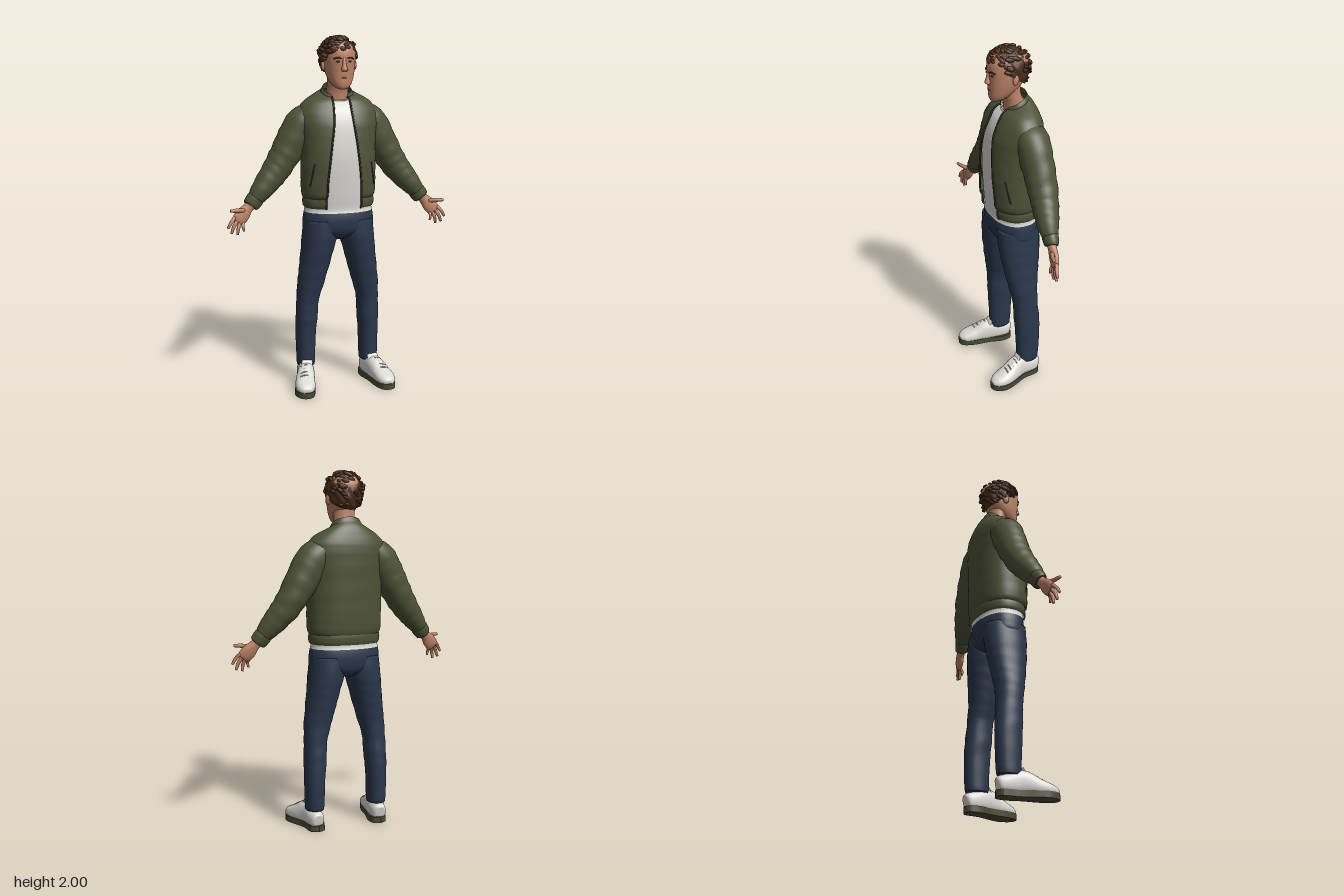
import * as THREE from 'three';
import { mergeGeometries } from 'three/addons/utils/BufferGeometryUtils.js';

const mat = (name, color, side = THREE.FrontSide) => {
  const m = new THREE.MeshStandardMaterial({ color, side });
  m.name = name;
  return m;
};
const V = (x, y, z) => new THREE.Vector3(x, y, z);

// Smooth interpolation of whole rows [x, y, z, rx, rz, gap, tilt]
function sampleRow(rows, t) {
  const f = t * (rows.length - 1), i = Math.min(Math.floor(f), rows.length - 2), k = f - i;
  const at = (j) => rows[Math.max(0, Math.min(rows.length - 1, j))];
  return Array.from({ length: 7 }, (_, c) => {
    const [a, b, d, e] = [-1, 0, 1, 2].map((o) => at(i + o)[c] ?? 0);
    return b + 0.5 * k * (d - a + k * (2 * a - 5 * b + 4 * d - e + k * (3 * (b - d) + e - a)));
  });
}

const pw = (v, p) => Math.sign(v) * Math.abs(v) ** p;
const gapAngle = (r, n) => (r[5] > 0 ? Math.asin(Math.min(1, r[5] / r[3]) ** (n / 2)) : 0);
function ringPoint(r, a, n, X, Z, s = 1) {
  return V(r[0], r[1] - (r[6] ?? 0) * Math.cos(a), r[2])
    .addScaledVector(X, s * r[3] * pw(Math.sin(a), 2 / n))
    .addScaledVector(Z, s * r[4] * pw(Math.cos(a), 2 / n));
}

// Skin a stack of superellipse rings; a gap leaves the front open
function loft(rows, { seg = 32, steps = 4, n = 2, upright = false, hint = V(0, 0, 1), wrinkle = 0, caps = true } = {}) {
  const count = (rows.length - 1) * steps, open = rows.some((r) => r[5] > 0), cols = open ? seg + 1 : seg;
  const pos = [], idx = [];
  const centre = (t) => V(...sampleRow(rows, t).slice(0, 3));
  for (let i = 0; i <= count; i++) {
    const t = i / count, r = sampleRow(rows, t);
    let X = V(1, 0, 0), Z = V(0, 0, 1);
    if (!upright) {
      const T = centre(Math.min(1, t + 0.01)).sub(centre(Math.max(0, t - 0.01))).normalize();
      X = T.clone().cross(hint).normalize();
      Z = X.clone().cross(T);
    }
    const a0 = gapAngle(r, n);
    for (let j = 0; j < cols; j++) {
      const a = a0 + (j / seg) * (Math.PI * 2 - 2 * a0);
      const s = 1 + wrinkle * Math.sin(i * 1.9 + 2 * Math.cos(a + i * 0.3)) * Math.sin(Math.PI * t);
      pos.push(...ringPoint(r, a, n, X, Z, s).toArray());
    }
  }
  for (let i = 0; i < count; i++)
    for (let j = 0; j < seg; j++) {
      const k = (j + 1) % cols, a = i * cols + j, b = i * cols + k, c = a + cols, d = b + cols;
      idx.push(a, b, c, b, d, c);
    }
  if (caps && !open)
    [0, count].forEach((i, end) => {
      const c = pos.length / 3;
      pos.push(...centre(end).toArray());
      for (let j = 0; j < seg; j++) {
        const a = i * cols + j, b = i * cols + ((j + 1) % cols);
        idx.push(...(end ? [a, b, c] : [b, a, c]));
      }
    });
  const g = new THREE.BufferGeometry();
  g.setAttribute('position', new THREE.Float32BufferAttribute(pos, 3));
  g.setIndex(idx);
  g.computeVertexNormals();
  return g;
}

const tube = (pts, r, seg = 16) =>
  new THREE.TubeGeometry(new THREE.CatmullRomCurve3(pts.map((p) => V(...p))), seg, r, 6);

export function createModel() {
  const root = new THREE.Group();
  root.name = 'standingMan';
  const M = {
    jacket: mat('olive jacket', 0x4d5237, THREE.DoubleSide),
    trim: mat('dark olive trim', 0x34382a),
    shirt: mat('off-white shirt', 0xd9d7d2, THREE.DoubleSide),
    jeans: mat('navy denim', 0x2a374b),
    skin: mat('skin', 0xbf8468),
    lips: mat('lips', 0x9c604d),
    hair: mat('brown hair', 0x4a2d1a),
    shoe: mat('white leather', 0xdcdad5),
    sole: mat('olive sole', 0x4b4a35),
    lace: mat('grey lace', 0xb9b7b1),
  };
  const add = (name, geo, m, parent = root) => {
    const mesh = new THREE.Mesh(geo, m);
    mesh.name = name;
    parent.add(mesh);
    return mesh;
  };

  // Jacket body, ribbed hem and collar
  const body = [
    [0, 1.105, -0.042, 0.2, 0.134, 0.1], [0, 1.13, -0.04, 0.21, 0.143, 0.098], [0, 1.2, -0.04, 0.212, 0.147, 0.095],
    [0, 1.3, -0.04, 0.212, 0.15, 0.085], [0, 1.42, -0.045, 0.213, 0.147, 0.07], [0, 1.52, -0.053, 0.225, 0.14, 0.056],
    [0, 1.59, -0.065, 0.222, 0.124, 0.05], [0, 1.64, -0.072, 0.185, 0.104, 0.048], [0, 1.675, -0.074, 0.125, 0.082, 0.046, 0.015],
    [0, 1.688, -0.068, 0.09, 0.066, 0.045, 0.03],
  ];
  const hem = [[0, 1.05, -0.043, 0.196, 0.128, 0.1], [0, 1.065, -0.042, 0.203, 0.134, 0.1], [0, 1.09, -0.042, 0.204, 0.136, 0.1], [0, 1.107, -0.042, 0.2, 0.134, 0.1]];
  const collar = [[0, 1.675, -0.068, 0.094, 0.07, 0.046, 0.03], [0, 1.69, -0.065, 0.09, 0.067, 0.046, 0.034], [0, 1.708, -0.062, 0.08, 0.06, 0.046, 0.036]];
  const cloth = { n: 2.3, upright: true, seg: 56 };
  add('jacketBody', loft(body, { ...cloth, wrinkle: 0.006 }), M.jacket);
  add('jacketHem', loft(hem, cloth), M.jacket);
  add('jacketCollar', loft(collar, cloth), M.jacket);

  // Shirt, showing in the opening and below the hem
  add('shirt', loft([
    [0, 1.025, -0.043, 0.196, 0.126], [0, 1.05, -0.043, 0.192, 0.122], [0, 1.13, -0.042, 0.194, 0.128], [0, 1.3, -0.042, 0.198, 0.137],
    [0, 1.42, -0.047, 0.198, 0.135], [0, 1.52, -0.055, 0.2, 0.127], [0, 1.59, -0.065, 0.185, 0.111], [0, 1.63, -0.07, 0.135, 0.09, 0, 0.005],
    [0, 1.66, -0.066, 0.075, 0.068, 0, 0.018],
  ], { ...cloth, caps: false }), M.shirt);
  add('shirtNeckband', tube(Array.from({ length: 17 }, (_, i) => {
    const a = (i / 16) * Math.PI * 2;
    return [0.075 * Math.sin(a), 1.66 - 0.018 * Math.cos(a), -0.066 + 0.068 * Math.cos(a)];
  }), 0.005, 40), M.shirt);

  // Jeans seat
  add('jeansSeat', loft([
    [0, 0.865, -0.045, 0.04, 0.06], [0, 0.885, -0.045, 0.12, 0.095], [0, 0.92, -0.044, 0.196, 0.118], [0, 0.97, -0.043, 0.203, 0.126],
    [0, 1.01, -0.043, 0.199, 0.124], [0, 1.05, -0.043, 0.188, 0.116],
  ], { n: 2.3, upright: true, seg: 48 }), M.jeans);

  for (const [s, side] of [[1, 'left'], [-1, 'right']]) {
    const m = (rows) => rows.map(([x, ...rest]) => [s * x, ...rest]);

    // Leg, tapering to a gathered ankle
    const leg = new THREE.Group();
    leg.name = side + 'Leg';
    root.add(leg);
    add('trouserLeg', loft(m([
      [0.19, 0.115, -0.066, 0.051, 0.062], [0.19, 0.15, -0.067, 0.053, 0.067], [0.189, 0.3, -0.067, 0.057, 0.073], [0.184, 0.4, -0.062, 0.062, 0.075],
      [0.179, 0.5, -0.056, 0.063, 0.073], [0.163, 0.6, -0.048, 0.075, 0.081], [0.143, 0.7, -0.045, 0.083, 0.097],
      [0.124, 0.8, -0.044, 0.091, 0.112], [0.108, 0.89, -0.044, 0.099, 0.12], [0.1, 0.98, -0.043, 0.095, 0.118],
    ]), { upright: true, n: 2.15, wrinkle: 0.018 }), M.jeans, leg);

    // Shoe: sole outline, upper and laces
    const shoe = new THREE.Group();
    shoe.name = side + 'Shoe';
    root.add(shoe);
    const outline = [[0.19, -0.14], [0.232, -0.115], [0.243, -0.03], [0.28, 0.06], [0.296, 0.12], [0.277, 0.175], [0.24, 0.193],
      [0.203, 0.175], [0.178, 0.11], [0.165, 0.02], [0.143, -0.06], [0.15, -0.12]];
    const curve = new THREE.SplineCurve([...outline, outline[0]].map(([x, z]) => new THREE.Vector2(s * x, -z)));
    add('sole', new THREE.ExtrudeGeometry(new THREE.Shape(curve.getPoints(48)), { depth: 0.034, bevelEnabled: false })
      .rotateX(-Math.PI / 2), M.sole, shoe);
    add('shoeUpper', loft(m([
      [0.19, 0.06, -0.132, 0.024, 0.03], [0.191, 0.062, -0.12, 0.038, 0.046], [0.193, 0.064, -0.08, 0.046, 0.055], [0.2, 0.075, -0.02, 0.047, 0.068],
      [0.21, 0.073, 0.02, 0.05, 0.067], [0.226, 0.058, 0.07, 0.055, 0.052], [0.237, 0.047, 0.12, 0.056, 0.041],
      [0.24, 0.04, 0.16, 0.045, 0.032], [0.24, 0.035, 0.186, 0.022, 0.018],
    ]), { hint: V(0, 1, 0), n: 2.3 }), M.shoe, shoe);
    add('shoeTongue', loft(m([[0.205, 0.1, 0.03, 0.03, 0.014], [0.2, 0.13, 0.008, 0.033, 0.012], [0.198, 0.155, -0.004, 0.03, 0.006]])), M.shoe, shoe);
    for (let i = 0; i < 4; i++) {
      const z = 0.025 + i * 0.022, x = s * (0.212 + i * 0.0065), y = 0.139 - i * 0.0115;
      add('lace', tube([[x - 0.03, y - 0.011, z], [x, y, z + 0.004], [x + 0.03, y - 0.011, z]], 0.0035, 8), M.lace, shoe);
    }

    // Sleeve and ribbed cuff
    const arm = new THREE.Group();
    arm.name = side + 'Arm';
    root.add(arm);
    add('sleeve', loft(m([
      [0.13, 1.565, -0.075, 0.065, 0.08], [0.19, 1.525, -0.077, 0.092, 0.092], [0.245, 1.435, -0.078, 0.094, 0.088], [0.3, 1.34, -0.077, 0.085, 0.083],
      [0.35, 1.262, -0.07, 0.078, 0.075], [0.4, 1.2, -0.058, 0.069, 0.066], [0.445, 1.147, -0.047, 0.058, 0.055], [0.475, 1.11, -0.042, 0.046, 0.042],
    ]), { wrinkle: 0.03 }), M.jacket, arm);
    add('cuff', loft(m([[0.468, 1.118, -0.043, 0.045, 0.04], [0.476, 1.108, -0.042, 0.05, 0.043], [0.498, 1.08, -0.038, 0.047, 0.037], [0.504, 1.072, -0.036, 0.04, 0.032]])), M.jacket, arm);

    // Hand with four fingers and an outward thumb
    const hand = new THREE.Group();
    hand.name = side + 'Hand';
    root.add(hand);
    add('palm', loft(m([[0.49, 1.09, -0.037, 0.03, 0.025], [0.52, 1.06, -0.034, 0.03, 0.022], [0.545, 1.032, -0.028, 0.04, 0.021],
      [0.568, 1.005, -0.022, 0.04, 0.017], [0.58, 0.99, -0.018, 0.032, 0.011]]), { seg: 20 }), M.skin, hand);
    const digit = (name, a, b, r) => {
      const mid = a.map((v, i) => (v + b[i]) / 2 + [0.003, 0.002, 0.006][i]);
      add(name, loft(m([[...a, r, r], [...mid, r * 0.92, r * 0.92], [...b, r * 0.65, r * 0.65]]), { seg: 10 }), M.skin, hand);
    };
    digit('thumb', [0.543, 1.052, -0.02], [0.622, 1.058, 0.012], 0.0125);
    digit('indexFinger', [0.594, 1.016, -0.02], [0.636, 0.958, -0.004], 0.0105);
    digit('middleFinger', [0.581, 1.0, -0.02], [0.617, 0.928, -0.008], 0.011);
    digit('ringFinger', [0.566, 0.988, -0.02], [0.583, 0.92, -0.01], 0.0105);
    digit('littleFinger', [0.55, 0.985, -0.02], [0.547, 0.938, -0.008], 0.009);

    // Zip edge, slanted pocket and sleeve pocket
    const edge = [...hem, ...body.slice(1)].map((r) => {
      const p = ringPoint(r, gapAngle(r, 2.3), 2.3, V(1, 0, 0), V(0, 0, 1));
      return [s * p.x, p.y, p.z + 0.001];
    });
    add(side + 'ZipEdge', tube(edge, 0.0055, 60), M.trim);
    const onBody = (a, t) => {
      const p = ringPoint(sampleRow(body, t), a, 2.3, V(1, 0, 0), V(0, 0, 1));
      return [s * p.x, p.y, p.z];
    };
    add(side + 'PocketWelt', tube([onBody(0.82, 0.34), onBody(0.92, 0.27), onBody(1.02, 0.19)], 0.004), M.trim);
    add(side + 'SleevePocketZip', tube(m([[0.327, 1.43, -0.035], [0.352, 1.388, -0.037], [0.372, 1.35, -0.038]]), 0.005, 8), M.trim);

    // Ear, brow and eye
    const ear = add(side + 'Ear', new THREE.SphereGeometry(1, 14, 10), M.skin);
    ear.scale.set(0.011, 0.03, 0.019);
    ear.position.set(s * 0.089, 1.835, -0.03);
    ear.rotation.set(-0.15, s * 0.3, 0);
    add(side + 'Brow', tube([[s * 0.015, 1.871, 0.088], [s * 0.035, 1.877, 0.083], [s * 0.056, 1.87, 0.07]], 0.004, 8), M.hair);
    const eye = add(side + 'Eye', new THREE.SphereGeometry(1, 12, 8), M.hair);
    eye.scale.set(0.011, 0.0045, 0.004);
    eye.position.set(s * 0.034, 1.856, 0.079);
    eye.rotation.y = s * 0.3;
  }

  // Neck, head, nose and mouth
  add('neck', loft([[0, 1.6, -0.075, 0.07, 0.065], [0, 1.68, -0.062, 0.062, 0.056], [0, 1.73, -0.045, 0.06, 0.052], [0, 1.79, -0.035, 0.062, 0.058]], { upright: true }), M.skin);
  add('head', loft([
    [0, 1.707, 0.048, 0.018, 0.018], [0, 1.716, 0.038, 0.037, 0.037], [0, 1.74, 0.02, 0.057, 0.06], [0, 1.78, -0.004, 0.074, 0.085], [0, 1.83, -0.02, 0.084, 0.104],
    [0, 1.88, -0.025, 0.088, 0.112], [0, 1.92, -0.03, 0.086, 0.111], [0, 1.955, -0.03, 0.066, 0.088], [0, 1.97, -0.03, 0.03, 0.04],
  ], { upright: true, n: 2.2 }), M.skin);
  add('nose', loft([[0, 1.803, 0.082, 0.012, 0.009], [0, 1.812, 0.088, 0.018, 0.017], [0, 1.84, 0.084, 0.011, 0.014], [0, 1.876, 0.082, 0.009, 0.007]], { upright: true, seg: 14 }), M.skin);
  add('mouth', tube([[-0.024, 1.768, 0.071], [0, 1.77, 0.08], [0.024, 1.768, 0.071]], 0.0045, 10), M.lips);

  // Hair cap following a low nape and high forehead, covered with wavy locks
  const hairline = (a) => 1.98 - 0.68 * Math.cos(a);
  const hairPoint = (a, p) => {
    const low = p > Math.PI / 2, w = low ? Math.sin(p) ** 0.4 : Math.sin(p);
    const k = 1 + Math.sin(p) * (0.03 * Math.sin(7 * a + 6 * p) + 0.02 * Math.sin(13 * a - 9 * p));
    return V(-0.004 + 0.1 * w * k * Math.sin(a), 1.885 + (low ? 0.115 : 0.102) * Math.cos(p), -0.032 + 0.112 * w * k * Math.cos(a));
  };
  const cap = new THREE.SphereGeometry(1, 64, 24, 0, Math.PI * 2, 0, Math.PI / 2);
  const cp = cap.attributes.position;
  for (let i = 0; i < cp.count; i++) {
    const a = Math.atan2(cp.getX(i), cp.getZ(i));
    const q = hairPoint(a, Math.acos(Math.min(1, cp.getY(i))) / (Math.PI / 2) * hairline(a));
    cp.setXYZ(i, q.x, q.y, q.z);
  }
  cap.computeVertexNormals();
  add('hairCap', cap, M.hair);
  let seed = 7;
  const rnd = () => (seed = (seed * 16807) % 2147483647) / 2147483647;
  const locks = [], o = new THREE.Object3D();
  for (let i = 0; i < 110; i++) {
    const a = rnd() * Math.PI * 2, p = Math.sqrt(0.02 + 0.9 * rnd()) * hairline(a);
    o.position.copy(hairPoint(a, p));
    o.lookAt(hairPoint(a + 0.25 + rnd() * 0.5, p + 0.15));
    const w = p > 1.7 ? 0.008 : 0.012;
    o.scale.set(w, w, 0.018 + rnd() * 0.012);
    o.updateMatrix();
    locks.push(new THREE.SphereGeometry(1, 8, 6).applyMatrix4(o.matrix));
  }
  add('hairLocks', mergeGeometries(locks), M.hair);
  return root;
}
